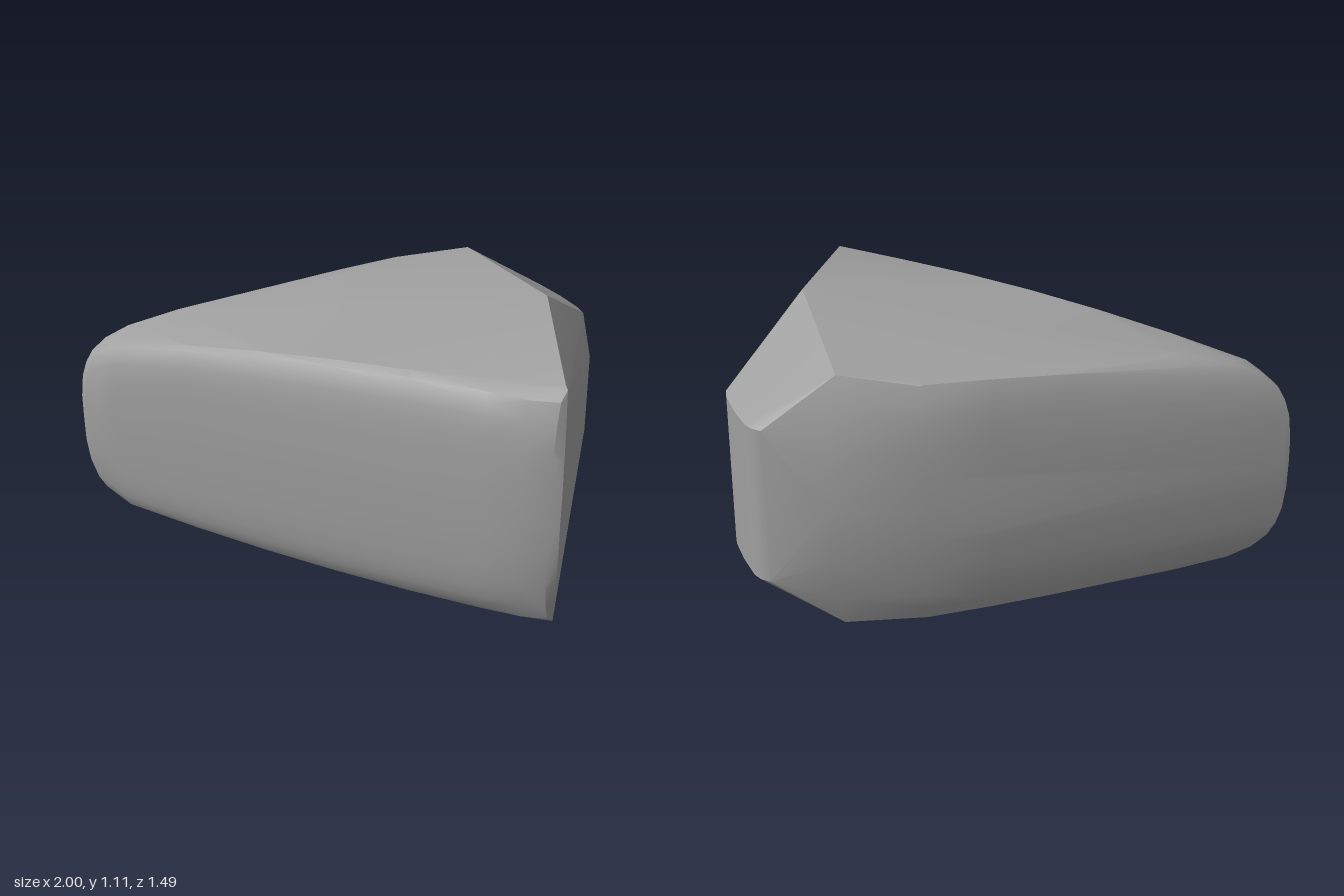
import * as THREE from 'three';
import { ConvexGeometry } from 'three/addons/geometries/ConvexGeometry.js';
import { toCreasedNormals } from 'three/addons/utils/BufferGeometryUtils.js';

const MID = 0.555; // height of the mirror plane

export function createModel() {
  const stone = new THREE.MeshStandardMaterial({ color: 0xa0a0a0 });
  const points = [];
  // adds a point and its mirror below the middle; h is measured from the middle
  const add = (x, h, z) => {
    points.push(new THREE.Vector3(x, MID + h, z));
    if (h > 0) points.push(new THREE.Vector3(x, MID - h, z));
  };

  // faceted blunt end and peak of the top
  for (const [x, h, z] of [
    [0.69, 0.553, 0.05], [0.64, 0.485, -0.61], [0.35, 0.455, -0.68],
    [1, 0.295, -0.24], [1, 0.295, -0.3], [0.98, 0.295, -0.42],
    [0.95, 0.295, -0.54], [0.93, 0.295, -0.575], [0.9, 0.295, -0.6],
    [0.97, 0.17, -0.1], [0.69, 0, -0.69], [0.685, 0.2, -0.68], [0.665, 0.37, -0.65],
  ]) add(x, h, z);

  // bowed front edge
  for (const [x, h, z] of [
    [0.45, 0, 0.745], [0.453, 0.12, 0.742], [0.458, 0.24, 0.73],
    [0.468, 0.36, 0.708], [0.482, 0.47, 0.675], [0.488, 0.498, 0.662], [0.49, 0.506, 0.64],
  ]) add(x, h, z);
  for (const [x, z] of [[0.41, 0.73], [0.32, 0.68]])
    for (const [d, h] of [[0, 0], [0.004, 0.15], [0.016, 0.29], [0.035, 0.39], [0.065, 0.465]])
      add(x + d * 0.68, h, z - d * 0.73);

  // long front wall, rounded into the top
  const front = [[0, 0], [0.002, 0.12], [0.006, 0.24], [0.014, 0.33], [0.027, 0.39],
    [0.045, 0.435], [0.07, 0.468], [0.1, 0.485]];
  for (let i = 0; i <= 5; i++) {
    const t = i / 5, x = 0.2 - 1.1 * t, z = 0.58 - 1.01 * t;
    const tall = 1 - 0.24 * t * t, thin = 1 - 0.35 * t;
    for (const [d, h] of front) add(x + d * thin * 0.68, h * tall, z - d * thin * 0.73);
  }

  // bowed back wall
  const back = [[0, 0], [0.004, 0.12], [0.013, 0.24], [0.028, 0.34], [0.043, 0.4], [0.065, 0.452]];
  for (let i = 0; i <= 5; i++) {
    const t = i / 5, x = 0.36 - 1.25 * t, z = -0.748 + 0.13 * t;
    for (const [d, h] of back) add(x, h * (1 - 0.23 * t * t), z + d * (1 - 0.2 * t));
  }

  // rounded narrow tip
  for (const [x, h, z, w] of [
    [-1, 0, -0.575, 0.03], [-1, 0.1, -0.575, 0.025], [-0.99, 0.19, -0.572, 0.025],
    [-0.972, 0.25, -0.568, 0.024], [-0.945, 0.3, -0.563, 0.022], [-0.89, 0.35, -0.556, 0.02],
    [-0.8, 0.392, -0.55, 0.015], [-0.6, 0.435, -0.54, 0.01],
  ]) {
    add(x, h, z - w);
    add(x, h, z + w);
  }
  for (const [h, s] of [[0, 0], [0.12, 0.004], [0.2, 0.012], [0.26, 0.025]]) {
    add(-0.975 + s, h, -0.61 + s);
    add(-0.965 + s, h, -0.495 - s * 0.3);
  }

  const body = new THREE.Mesh(toCreasedNormals(new ConvexGeometry(points), 0.38), stone);
  body.name = 'roundedWedgeStone';
  const group = new THREE.Group();
  group.name = 'stone';
  group.add(body);
  return group;
}
